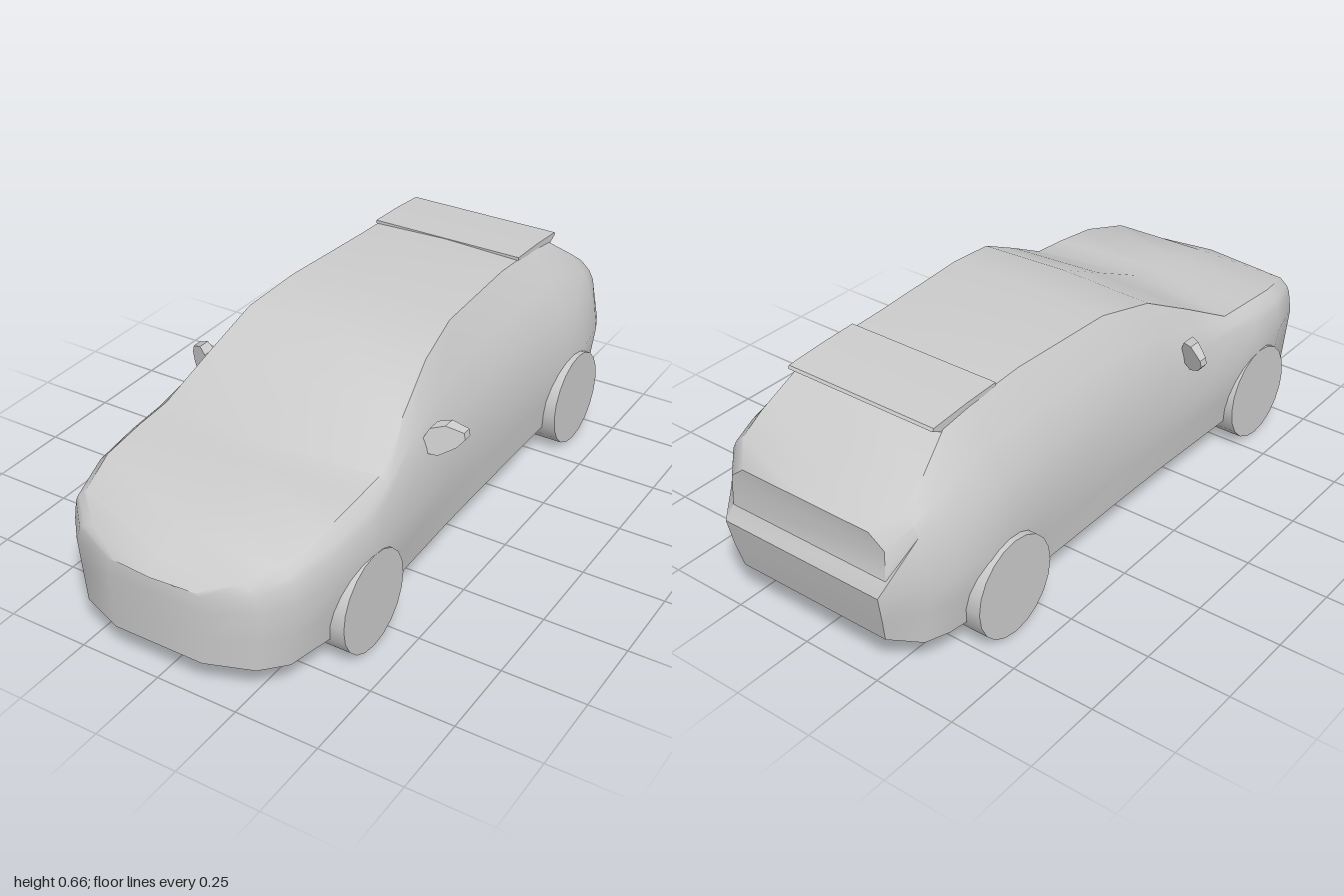
import * as THREE from 'three';
import { toCreasedNormals } from 'three/addons/utils/BufferGeometryUtils.js';

const material = new THREE.MeshStandardMaterial({ color: 0xcccccc });

function add(group, name, geometry) {
  const mesh = new THREE.Mesh(geometry, material);
  mesh.name = name;
  group.add(mesh);
  return mesh;
}

// Stations from nose to hatch:
// z, floor x, waist x, belt x, belt y, top edge x, top edge y, centre y, centre z shift
const STATIONS = [
  [0.985, 0.14, 0.15, 0.145, 0.31, 0.13, 0.322, 0.328, 0.015],
  [0.935, 0.275, 0.295, 0.28, 0.335, 0.235, 0.36, 0.372, 0.015],
  [0.87, 0.335, 0.355, 0.345, 0.36, 0.31, 0.4, 0.405, 0],
  [0.73, 0.365, 0.395, 0.385, 0.375, 0.345, 0.43, 0.437, 0],
  [0.58, 0.38, 0.413, 0.395, 0.39, 0.35, 0.445, 0.457, 0.01],
  [0.465, 0.38, 0.41, 0.385, 0.41, 0.35, 0.453, 0.462, 0.04],
  [0.3, 0.375, 0.4, 0.375, 0.43, 0.322, 0.54, 0.557, 0],
  [0.13, 0.37, 0.39, 0.37, 0.44, 0.293, 0.625, 0.636, 0],
  [-0.05, 0.368, 0.383, 0.362, 0.45, 0.265, 0.655, 0.662, 0],
  [-0.4, 0.368, 0.381, 0.358, 0.45, 0.245, 0.65, 0.658, 0],
  [-0.6, 0.37, 0.395, 0.362, 0.45, 0.247, 0.64, 0.648, 0],
  [-0.71, 0.37, 0.4, 0.362, 0.45, 0.25, 0.62, 0.625, 0],
  [-0.83, 0.355, 0.38, 0.345, 0.44, 0.275, 0.535, 0.54, 0],
  [-0.9, 0.33, 0.35, 0.325, 0.43, 0.28, 0.485, 0.49, 0],
];

// Half section, floor edge up to the centre line
function halfSection([z, fx, wx, bx, by, tx, ty, cy, dz]) {
  const waistY = Math.min(0.3, by - 0.04);
  return [
    [fx, 0.1, z],
    [fx + (wx - fx) * 0.5, 0.1 + (waistY - 0.1) * 0.5, z],
    [wx, waistY, z],
    [bx, by, z],
    [(bx + tx) / 2 + 0.008, (by + ty) / 2, z],
    [tx, ty, z],
    [0, cy, z + dz],
  ];
}

// Tail: sloping bumper, ledge and tailgate panel
const TAIL = [
  [0.255, 0.115, -0.965], [0.265, 0.19, -0.983], [0.27, 0.275, -1],
  [0.27, 0.31, -0.968], [0.268, 0.4, -0.963], [0.22, 0.44, -0.967], [0, 0.44, -0.967],
];

function bodyGeometry() {
  const halves = [...STATIONS.map(halfSection), TAIL];
  const rings = halves.map((h) => [...h, ...h.slice(0, -1).reverse().map(([x, y, z]) => [-x, y, z])]);
  const n = rings[0].length;
  const index = [];
  const quad = (a, b, c, d) => {
    if (b !== c) index.push(a, b, c);
    index.push(a, c, d);
  };
  for (let s = 0; s < rings.length - 1; s++) {
    for (let i = 0; i < n; i++) {
      const j = (i + 1) % n;
      quad(s * n + i, (s + 1) * n + i, (s + 1) * n + j, s * n + j);
    }
  }
  // Nose and tail caps
  const last = (rings.length - 1) * n;
  for (let j = 0; j < (n - 1) / 2; j++) {
    quad(j, j + 1, n - 2 - j, n - 1 - j);
    const [a, b, c, d] = [j, j + 1, n - 2 - j, n - 1 - j].map((k) => k + last);
    index.push(a, d, c);
    if (b !== c) index.push(a, c, b);
  }
  const g = new THREE.BufferGeometry();
  g.setAttribute('position', new THREE.Float32BufferAttribute(rings.flat(2), 3));
  g.setIndex(index);
  return toCreasedNormals(g, 0.65);
}

const polygon = (points) => new THREE.Shape(points.map(([x, y]) => new THREE.Vector2(x, y)));

// Overhanging rear edge of the roof
function roofLipGeometry() {
  const profile = polygon([[-0.5, 0.645], [-0.5, 0.655], [-0.62, 0.65], [-0.745, 0.64], [-0.75, 0.632], [-0.715, 0.615]]);
  const g = new THREE.ExtrudeGeometry(profile, { depth: 0.5, bevelEnabled: false });
  return g.rotateY(-Math.PI / 2).translate(0.25, 0, 0);
}

// Door mirror: flat pod swept backwards and thinner towards the tip
function mirrorGeometry(side) {
  const outline = [[0.345, 0.43], [0.375, 0.418], [0.4, 0.41], [0.44, 0.432], [0.458, 0.455], [0.454, 0.475], [0.41, 0.498], [0.375, 0.492], [0.365, 0.47]];
  const g = new THREE.ExtrudeGeometry(polygon(outline.map(([x, y]) => [x * side, y])), { depth: 1, bevelEnabled: false });
  const p = g.attributes.position;
  for (let i = 0; i < p.count; i++) {
    const out = Math.abs(p.getX(i)) - 0.35;
    p.setZ(i, 0.22 - 0.48 * out + p.getZ(i) * (0.05 - 0.2 * out) + (p.getY(i) - 0.45) * -0.15);
  }
  return toCreasedNormals(g, 0.5);
}

export function createModel() {
  const car = new THREE.Group();
  car.name = 'hatchbackCar';
  add(car, 'body', bodyGeometry());
  add(car, 'roofLip', roofLipGeometry());

  for (const [sideName, side] of [['Left', 1], ['Right', -1]]) {
    add(car, `mirror${sideName}`, mirrorGeometry(side));
    for (const [axle, z] of [['front', 0.59], ['rear', -0.63]]) {
      const g = new THREE.CylinderGeometry(0.15, 0.15, 0.104, 20).rotateZ(Math.PI / 2);
      add(car, `${axle}Wheel${sideName}`, g).position.set(side * 0.361, 0.15, z);
    }
  }
  return car;
}
